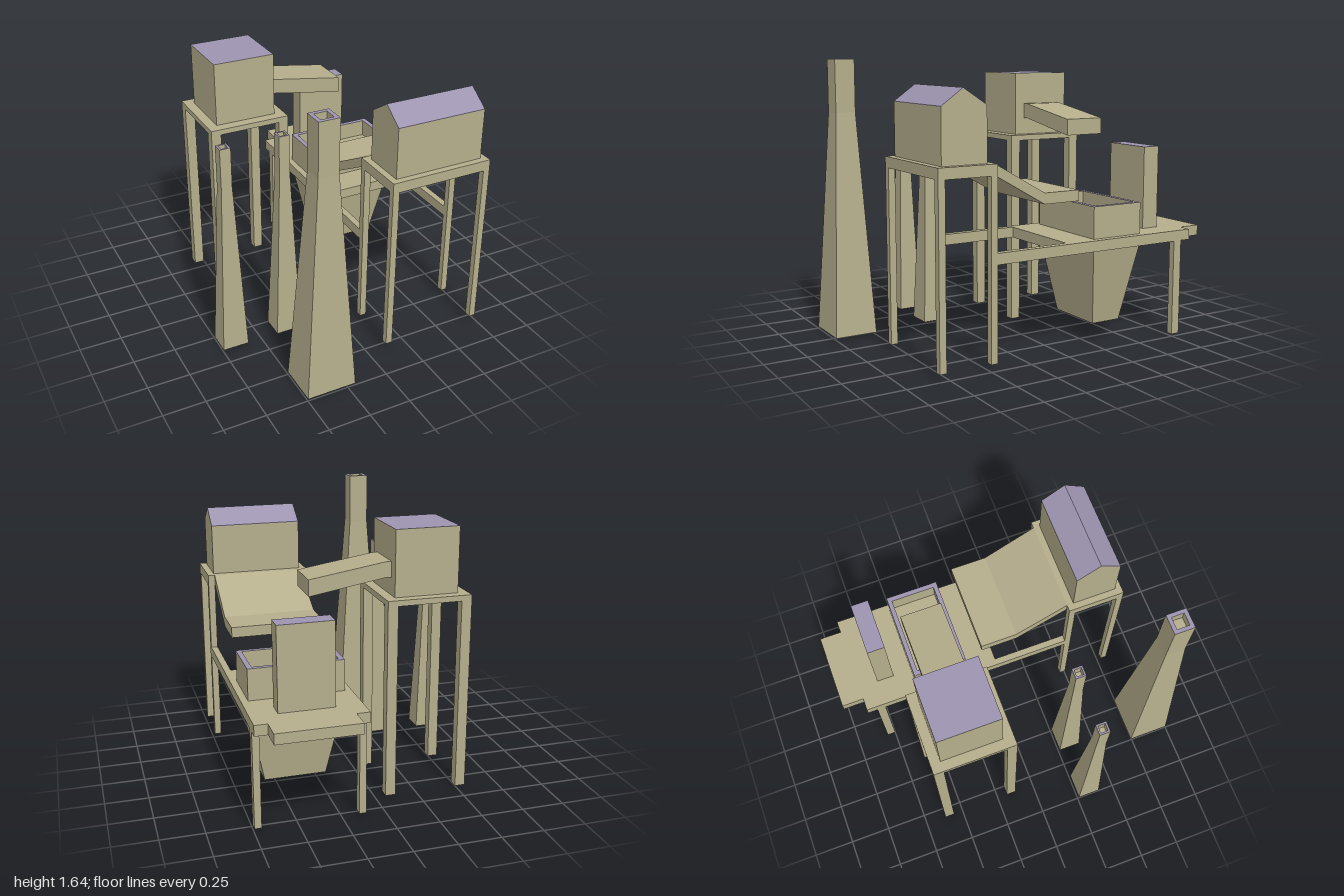
import * as THREE from 'three';

const tan = new THREE.MeshStandardMaterial({ color: 0xb5ae8c, flatShading: true, side: THREE.DoubleSide });
const purple = new THREE.MeshStandardMaterial({ color: 0x9d94b0, flatShading: true, side: THREE.DoubleSide });
const purpleTop = [tan, tan, purple, tan, tan, tan];

function add(parent, name, geometry, material = tan) {
  const mesh = new THREE.Mesh(geometry, material);
  mesh.name = name;
  parent.add(mesh);
  return mesh;
}

function group(parent, name) {
  const g = new THREE.Group();
  g.name = name;
  parent.add(g);
  return g;
}

// box given by its limits on each axis
function box(parent, name, [x0, x1], [y0, y1], [z0, z1], material = tan) {
  const geo = new THREE.BoxGeometry(x1 - x0, y1 - y0, z1 - z0);
  geo.translate((x0 + x1) / 2, (y0 + y1) / 2, (z0 + z1) / 2);
  return add(parent, name, geo, material);
}

// four square legs at the corners of a rectangle
function legs(parent, name, xs, zs, y0, y1, t) {
  for (const x of [xs[0], xs[1] - t])
    for (const z of [zs[0], zs[1] - t])
      box(parent, name, [x, x + t], [y0, y1], [z, z + t]);
}

function extrude(points, depth) {
  const shape = new THREE.Shape(points.map(([a, b]) => new THREE.Vector2(a, b)));
  return new THREE.ExtrudeGeometry(shape, { depth, bevelEnabled: false });
}

// side profile of [z, y] points, extruded from x0 to x1
function sideProfile(points, x0, x1) {
  return extrude(points.map(([z, y]) => [-z, y]), x1 - x0).rotateY(Math.PI / 2).translate(x0, 0, 0);
}

// skin through rectangular rings [y, half width, half depth]
function loft(rings, { bottom = false, top = false } = {}) {
  const pos = [];
  const corners = rings.map(([y, w, d]) => [[-w, y, d], [w, y, d], [w, y, -d], [-w, y, -d]]);
  const quad = (a, b, c, d) => pos.push(...a, ...b, ...c, ...a, ...c, ...d);
  for (let r = 0; r + 1 < corners.length; r++)
    for (let i = 0; i < 4; i++) {
      const j = (i + 1) % 4;
      quad(corners[r][i], corners[r][j], corners[r + 1][j], corners[r + 1][i]);
    }
  if (bottom) quad(...[...corners[0]].reverse());
  if (top) quad(...corners[corners.length - 1]);
  const geo = new THREE.BufferGeometry();
  geo.setAttribute('position', new THREE.Float32BufferAttribute(pos, 3));
  geo.computeVertexNormals();
  return geo;
}

// tapered stack with a straight neck and a recessed mouth
function chimney(parent, name, x, z, s) {
  const g = group(parent, name);
  g.position.set(x, 0, z);
  add(g, 'stack', loft([[0.012, s.w, s.d], [s.neckY, s.neck, s.neck], [s.top, s.neck, s.neck]]));
  add(g, 'rim', loft([[s.top, s.neck, s.neck], [s.top, s.hole, s.hole]]), purple);
  add(g, 'mouth', loft([[s.top, s.hole, s.hole], [s.top - 0.06, s.hole, s.hole]], { top: true }));
}

export function createModel() {
  const model = new THREE.Group();
  model.name = 'industrialPlant';

  // Chimneys
  chimney(model, 'largeChimney', -0.35, 0.872,
    { w: 0.148, d: 0.128, neck: 0.06, hole: 0.037, neckY: 1.33, top: 1.64 });
  for (const x of [-0.67, -0.322])
    chimney(model, 'smallChimney', x, 0.33,
      { w: 0.079, d: 0.07, neck: 0.032, hole: 0.021, neckY: 1.06, top: 1.3 });

  // Silo tower on four legs, with its chute
  const tower = group(model, 'siloTower');
  const tx = [-0.56, -0.065], tz = [-0.62, -0.125];
  legs(tower, 'towerLeg', tx, tz, 0, 1.135, 0.06);
  box(tower, 'towerDeck', tx, [1.135, 1.168], tz);
  box(tower, 'silo', [-0.5, -0.125], [1.168, 1.55], [-0.56, -0.19], purpleTop);
  add(tower, 'chute', extrude([[-0.125, 1.27], [-0.09, 1.27], [0.35, 1.195],
    [0.35, 1.29], [-0.09, 1.36], [-0.125, 1.36]], 0.245).translate(0, 0, -0.498));

  // Gabled house on four legs
  const house = group(model, 'gabledHouse');
  const X0 = 0.112, X1 = 0.745, x0 = 0.152, x1 = 0.705;
  legs(house, 'houseLeg', [X0, X1], [0.46, 0.808], 0.04, 1.05, 0.04);
  box(house, 'houseDeck', [X0, X1], [1.05, 1.112], [0.46, 0.808]);
  add(house, 'houseWalls', sideProfile(
    [[0.768, 1.112], [0.5, 1.112], [0.5, 1.413], [0.64, 1.503], [0.768, 1.413]], x0, x1));
  add(house, 'houseRoof', sideProfile([[0.768, 1.413], [0.64, 1.503], [0.5, 1.413],
    [0.5, 1.416], [0.64, 1.507], [0.768, 1.416]], x0, x1), purple);

  // Bent conveyor from the house down to the trough
  add(model, 'conveyor', sideProfile([[0.46, 1.112], [0.46, 1.05], [0.14, 0.868],
    [-0.085, 0.868], [-0.085, 0.93], [0.14, 0.93]], x0, x1));

  // Lower platform: slab with a stepped back and two arms reaching the house legs
  const platform = group(model, 'lowerPlatform');
  const plan = [[X0, 0.46], [x0, 0.46], [x0, 0], [x1, 0], [x1, 0.46], [X1, 0.46],
    [X1, -0.865], [0.67, -0.865], [0.67, -1], [0.19, -1], [0.19, -0.865], [X0, -0.865]];
  add(platform, 'slab', extrude(plan.map(([x, z]) => [x, -z]), 0.062)
    .rotateX(-Math.PI / 2).translate(0, 0.578, 0));
  for (const x of [X0, X1 - 0.04])
    box(platform, 'backLeg', [x, x + 0.04], [0.012, 0.578], [-0.803, -0.75]);
  box(platform, 'controlBlock', [0.27, 0.59], [0.64, 1.128], [-0.745, -0.638], purpleTop);

  // Open trough above the slab and tapered hopper below it
  const hopper = group(platform, 'hopper');
  hopper.position.set((x0 + x1) / 2, 0, -0.357);
  const w = (x1 - x0) / 2, d = 0.165, wi = w - 0.03, di = d - 0.028;
  add(hopper, 'troughWalls', loft([[0.64, w, d], [0.825, w, d]]));
  add(hopper, 'troughRim', loft([[0.825, w, d], [0.825, wi, di]]), purple);
  add(hopper, 'troughInside', loft([[0.825, wi, di], [0.72, wi, di]], { top: true }));
  add(hopper, 'hopperFunnel', loft([[0.118, 0.181, 0.094], [0.578, w, d]], { bottom: true }));

  return model;
}
